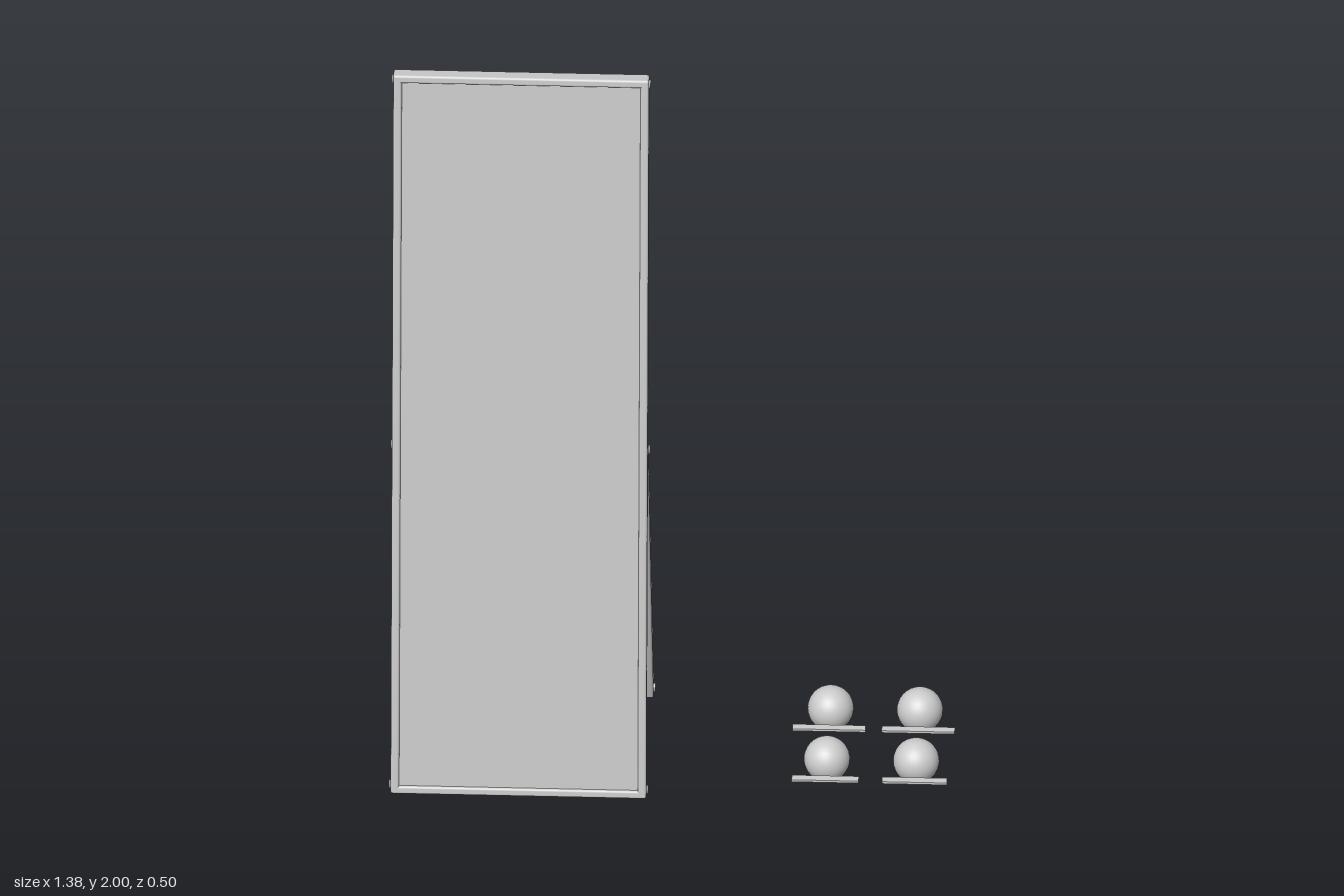
import * as THREE from 'three';
import { RoundedBoxGeometry } from 'three/addons/geometries/RoundedBoxGeometry.js';

const WIDTH = 0.63, BAR = 0.021, DEPTH = 0.04, CENTRE_X = -0.375;
const mat = new THREE.MeshStandardMaterial({ color: 0xcccccc });

function add(parent, name, geometry, x = 0, y = 0, z = 0) {
  const mesh = new THREE.Mesh(geometry, mat);
  mesh.name = name;
  mesh.position.set(x, y, z);
  parent.add(mesh);
  return mesh;
}

const bar = (w, h) => new RoundedBoxGeometry(w, h, DEPTH, 3, 0.006);

// Rectangular frame of four bars in its own xy plane, with a screw cap at given heights on each side
function frame(name, height, capHeights) {
  const g = new THREE.Group();
  g.name = name;
  for (const s of [-1, 1]) {
    const side = s > 0 ? 'left' : 'right';
    add(g, side + 'Bar', bar(BAR, height), s * (WIDTH - BAR) / 2);
    add(g, s > 0 ? 'topRail' : 'bottomRail', bar(WIDTH - BAR, BAR), 0, s * (height - BAR) / 2);
    for (const y of capHeights) {
      const cap = add(g, side + 'ScrewCap', new THREE.CylinderGeometry(0.011, 0.011, 0.008, 20), s * WIDTH / 2, y);
      cap.rotation.z = Math.PI / 2;
    }
  }
  return g;
}

export function createModel() {
  const model = new THREE.Group();
  model.name = 'standingMirror';

  // Mirror frame leaning back, with the glass set near its front
  const mirror = frame('mirrorFrame', 1.992, [-0.978, 0.978]);
  mirror.position.set(CENTRE_X, 1.006, 0.145);
  mirror.rotation.x = -THREE.MathUtils.degToRad(5);
  add(mirror, 'mirrorGlass', new THREE.BoxGeometry(WIDTH - BAR, 1.97, 0.008), 0, 0, 0.009);
  model.add(mirror);

  // Hinged support frame behind
  const support = frame('supportFrame', 1.0, [-0.48, 0.48]);
  support.position.set(CENTRE_X, 0.4915, -0.06);
  support.rotation.x = THREE.MathUtils.degToRad(20);
  model.add(support);

  // Flat strap that limits how far the support opens
  add(model, 'strap', new THREE.BoxGeometry(0.014, 0.004, 0.455), -0.365, 0.031, 0.0);
  add(model, 'strapPin', new THREE.CylinderGeometry(0.009, 0.009, 0.01, 16), -0.365, 0.033, -0.228);

  // Finish sample balls, each with a blank plate in front
  for (const [x, z, plateWidth] of [
    [0.38, -0.122, 0.18], [0.6, -0.122, 0.18],
    [0.38, 0.112, 0.165], [0.6, 0.112, 0.16],
  ]) {
    add(model, 'sampleBall', new THREE.SphereGeometry(0.057, 32, 20), x, 0.057, z);
    add(model, 'samplePlate', new THREE.BoxGeometry(plateWidth, 0.006, 0.022), x, 0.064, z + 0.105);
  }
  return model;
}
